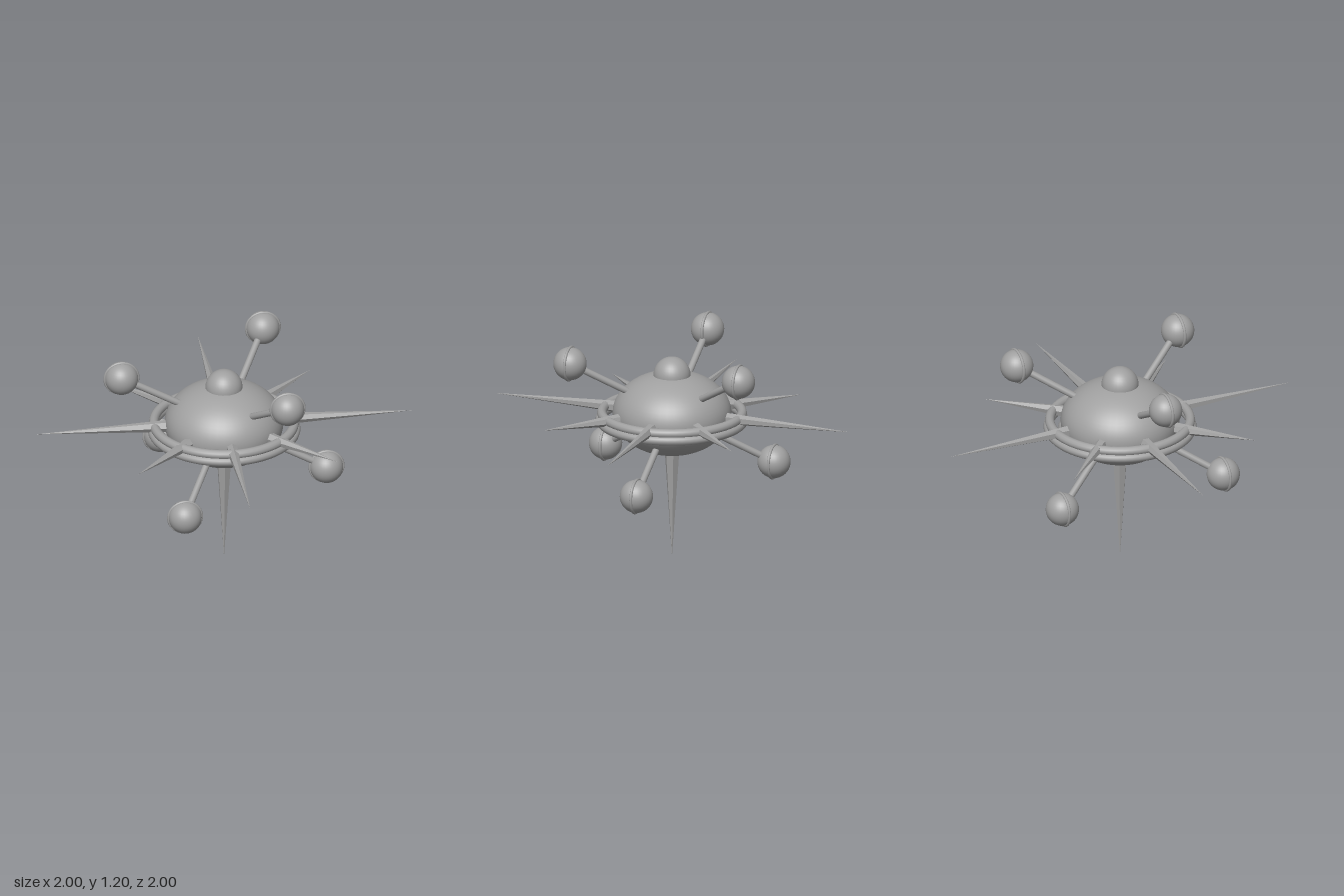
import * as THREE from 'three';

export function createModel() {
  const model = new THREE.Group();
  const grey = new THREE.MeshStandardMaterial({ color: 0xa0a0a0 });
  grey.name = 'plain grey';
  const facetedGrey = grey;
  const centre = new THREE.Vector3(0, 0.8, 0);
  const up = new THREE.Vector3(0, 1, 0);

  function add(name, geometry, parent = model, material = grey) {
    const mesh = new THREE.Mesh(geometry, material);
    mesh.name = name;
    parent.add(mesh);
    return mesh;
  }

  // Flattened hull with a small dome on top
  const hull = add('hull', new THREE.SphereGeometry(0.313, 48, 32));
  hull.scale.y = 0.7;
  hull.position.copy(centre);
  add('topDome', new THREE.SphereGeometry(0.098, 32, 20)).position.y = 1.008;

  // Two stacked rings around the waist
  [['upperRing', 0.37, 0.8], ['lowerRing', 0.378, 0.763]].forEach(([name, radius, y]) => {
    const ring = add(name, new THREE.TorusGeometry(radius, 0.025, 12, 64));
    ring.rotation.x = Math.PI / 2;
    ring.position.y = y;
  });

  // Six-sided spike pointing outwards from the hull centre
  function addSpike(name, direction, start, end, radius) {
    const geometry = new THREE.ConeGeometry(radius, end - start, 6).toNonIndexed();
    geometry.computeVertexNormals(); // faceted sides
    const spike = add(name, geometry, model, facetedGrey);
    spike.position.copy(centre).addScaledVector(direction, (start + end) / 2);
    spike.quaternion.setFromUnitVectors(up, direction);
  }

  // Eight spikes around the waist, alternately long and short, and one below
  for (let i = 0; i < 8; i++) {
    const angle = i * Math.PI / 4;
    const direction = new THREE.Vector3(Math.cos(angle), 0, Math.sin(angle));
    if (i % 2) addSpike('shortSpike', direction, 0.26, 0.75, 0.036);
    else addSpike('longSpike', direction, 0.26, 1, 0.034);
  }
  addSpike('bottomSpike', new THREE.Vector3(0, -1, 0), 0.18, 0.8, 0.043);

  // Six pods on struts, alternately raised and lowered
  for (let i = 0; i < 6; i++) {
    const angle = i * Math.PI / 3;
    const raised = i % 2 ? 1 : -1;
    const offset = new THREE.Vector3(0.545 * Math.cos(angle), 0.3 * raised, 0.545 * Math.sin(angle));
    const length = offset.length();
    const direction = offset.clone().normalize();

    const arm = new THREE.Group();
    arm.name = raised > 0 ? 'upperPodArm' : 'lowerPodArm';
    model.add(arm);

    const strut = add('strut', new THREE.CylinderGeometry(0.018, 0.018, length - 0.2, 16), arm);
    strut.position.copy(centre).addScaledVector(direction, (length + 0.2) / 2);
    strut.quaternion.setFromUnitVectors(up, direction);

    const pod = add('pod', new THREE.SphereGeometry(0.088, 32, 20), arm);
    pod.position.copy(centre).add(offset);
    add('podBand', new THREE.TorusGeometry(0.088, 0.008, 8, 40), arm).position.copy(pod.position);
  }

  return model;
}
